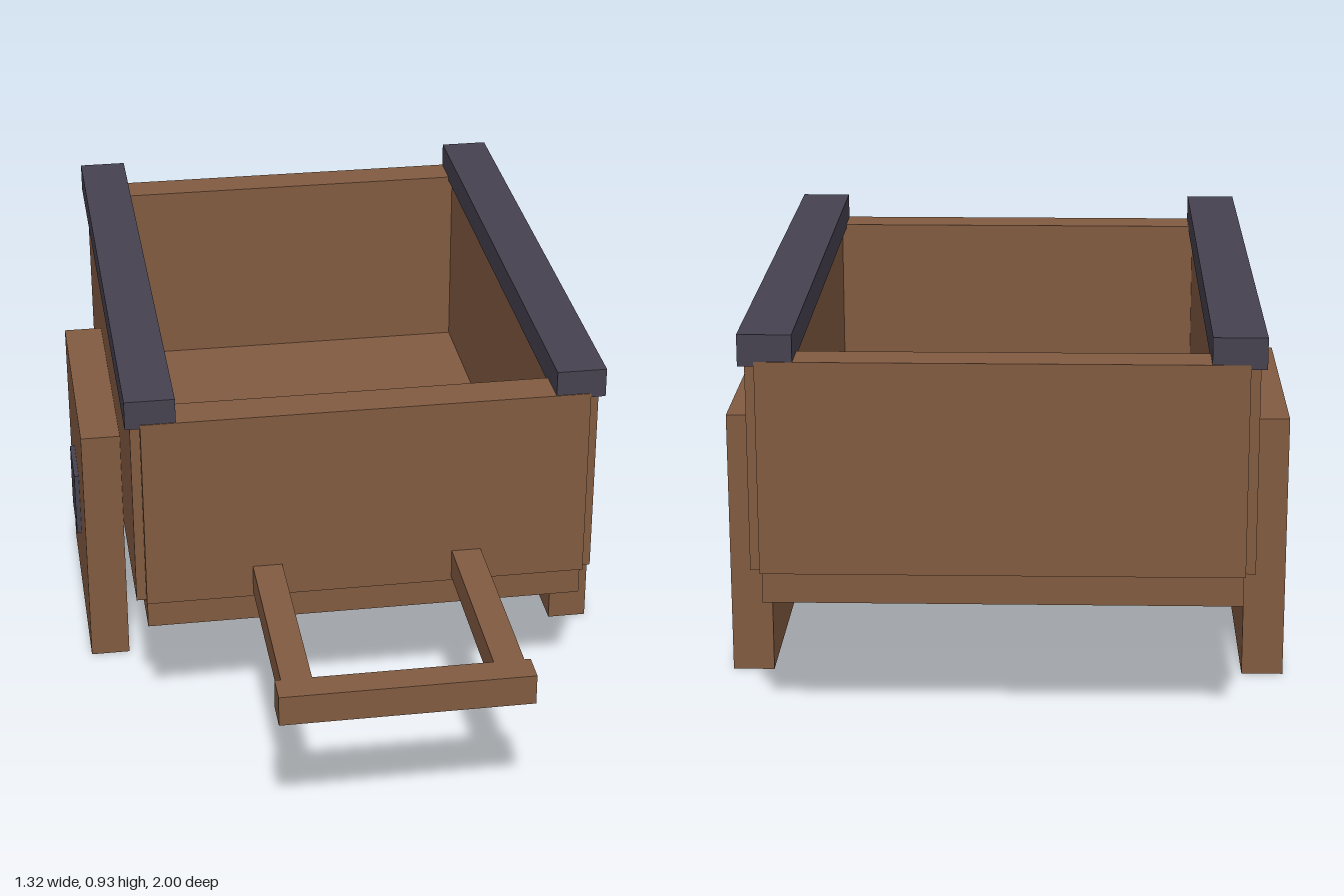
import * as THREE from 'three';

export function createModel() {
  const cart = new THREE.Group();
  cart.name = 'handCart';

  const wood = new THREE.MeshStandardMaterial({ color: 0x825b41 });
  wood.name = 'brown wood';
  const iron = new THREE.MeshStandardMaterial({ color: 0x46414f });
  iron.name = 'dark iron';

  // Box given by its lower and upper bounds on each axis
  function block(name, material, [x0, x1], [y0, y1], [z0, z1]) {
    const mesh = new THREE.Mesh(new THREE.BoxGeometry(x1 - x0, y1 - y0, z1 - z0), material);
    mesh.position.set((x0 + x1) / 2, (y0 + y1) / 2, (z0 + z1) / 2);
    mesh.name = name;
    cart.add(mesh);
  }

  // Same block on the left (+x) and the right (-x)
  function pair(name, material, [x0, x1], y, z) {
    block(name + 'Left', material, [x0, x1], y, z);
    block(name + 'Right', material, [-x1, -x0], y, z);
  }

  // Open tray: floor, end boards and side boards
  block('floor', wood, [-0.525, 0.525], [0.313, 0.388], [-0.975, 0.415]);
  block('frontBoard', wood, [-0.527, 0.527], [0.388, 0.865], [0.34, 0.436]);
  block('backBoard', wood, [-0.527, 0.527], [0.388, 0.865], [-1, -0.908]);
  pair('sideBoard', wood, [0.455, 0.55], [0.388, 0.86], [-0.975, 0.415]);

  // Rails capping the side boards
  pair('topRail', iron, [0.445, 0.562], [0.855, 0.925], [-0.999, 0.434]);

  // Square wheels with hub plates
  pair('wheel', wood, [0.55, 0.646], [0, 0.625], [-0.592, 0.028]);
  pair('hub', iron, [0.64, 0.658], [0.23, 0.398], [-0.366, -0.198]);

  // Pull handle
  pair('handleArm', wood, [0.204, 0.274], [0.398, 0.469], [0.43, 0.935]);
  block('handleGrip', wood, [-0.288, 0.288], [0.397, 0.47], [0.93, 1]);

  return cart;
}
